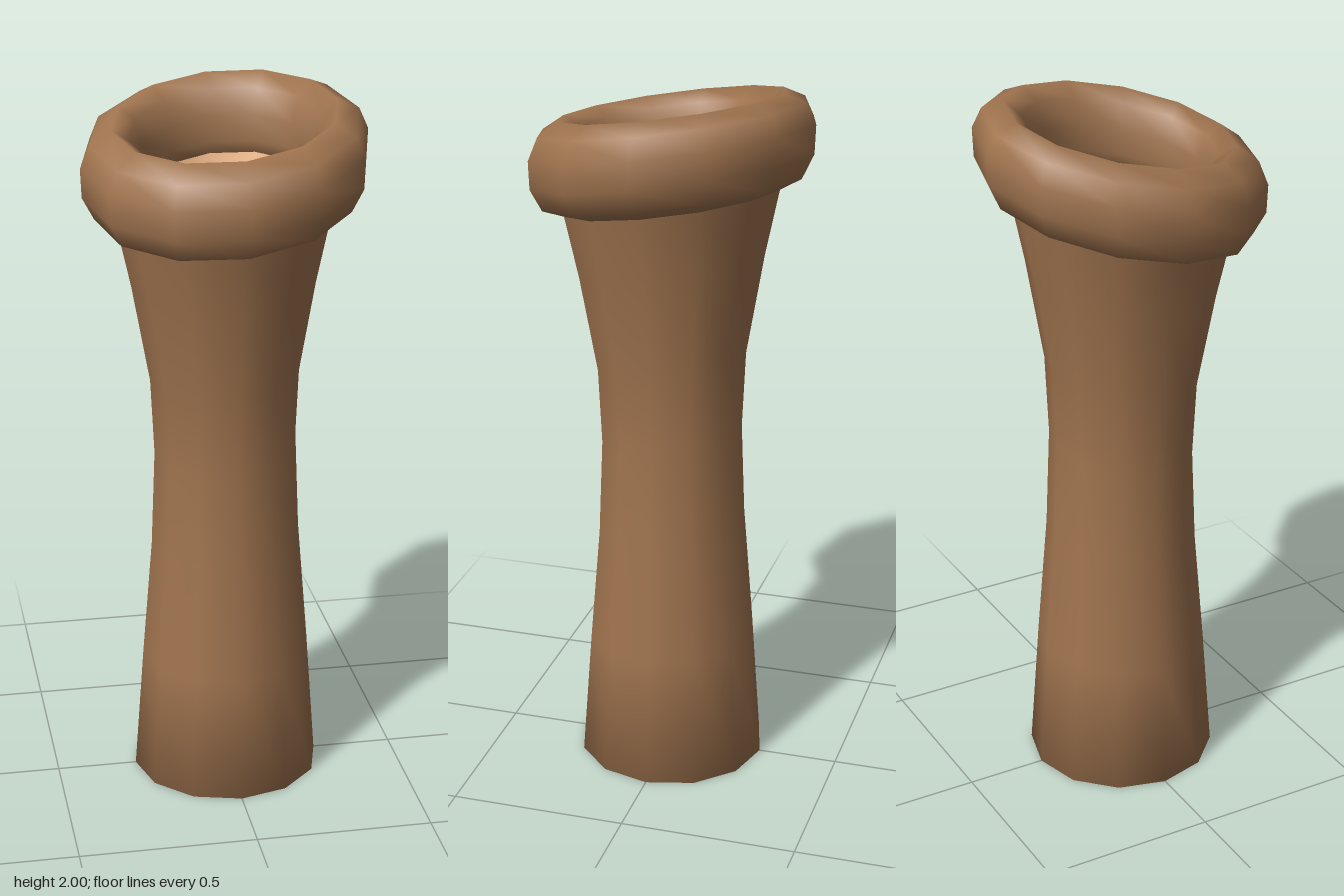
import * as THREE from 'three';
import { mergeVertices } from 'three/addons/utils/BufferGeometryUtils.js';

const SIDES = 12;

// Lathe a [radius, height] profile, then slant its upper levels
function slantedLathe(name, profile, color) {
  let geo = new THREE.LatheGeometry(profile.map(([r, y]) => new THREE.Vector2(r, y)), SIDES);
  const pos = geo.attributes.position;
  for (let i = 0; i < pos.count; i++) {
    const x = pos.getX(i), y = pos.getY(i), z = pos.getZ(i);
    const amount = Math.min(1, Math.max(0, y / 1.2));
    pos.setY(i, y + amount * (0.1 * x - 0.17 * z));
  }
  // weld the seam so the shading stays smooth all round
  geo.deleteAttribute('uv');
  geo.deleteAttribute('normal');
  geo = mergeVertices(geo, 1e-4);
  geo.computeVertexNormals();
  const mesh = new THREE.Mesh(geo, new THREE.MeshStandardMaterial({ color, side: THREE.DoubleSide }));
  mesh.name = name;
  return mesh;
}

export function createModel() {
  const group = new THREE.Group();
  group.name = 'hollowStalk';
  const brown = 0xa0744f, tan = 0xe8b080;

  // flared stalk with a closed base
  group.add(slantedLathe('stalk', [
    [0, 0], [0.27, 0], [0.243, 0.37], [0.214, 0.72], [0.203, 1.0],
    [0.213, 1.22], [0.262, 1.5], [0.305, 1.7],
  ], brown));

  // thick rolled rim
  group.add(slantedLathe('rim', [
    [0.25, 1.72], [0.3, 1.68], [0.36, 1.705], [0.393, 1.77], [0.396, 1.85],
    [0.37, 1.91], [0.31, 1.943], [0.265, 1.91], [0.242, 1.84], [0.24, 1.77], [0.25, 1.72],
  ], brown));

  // pale funnel inside the mouth
  group.add(slantedLathe('funnel', [[0.25, 1.745], [0.213, 1.62], [0.097, 1.33]], tan));

  // flat bottom of the funnel
  group.add(slantedLathe('funnelFloor', [[0.097, 1.33], [0, 1.33]], tan));

  return group;
}
